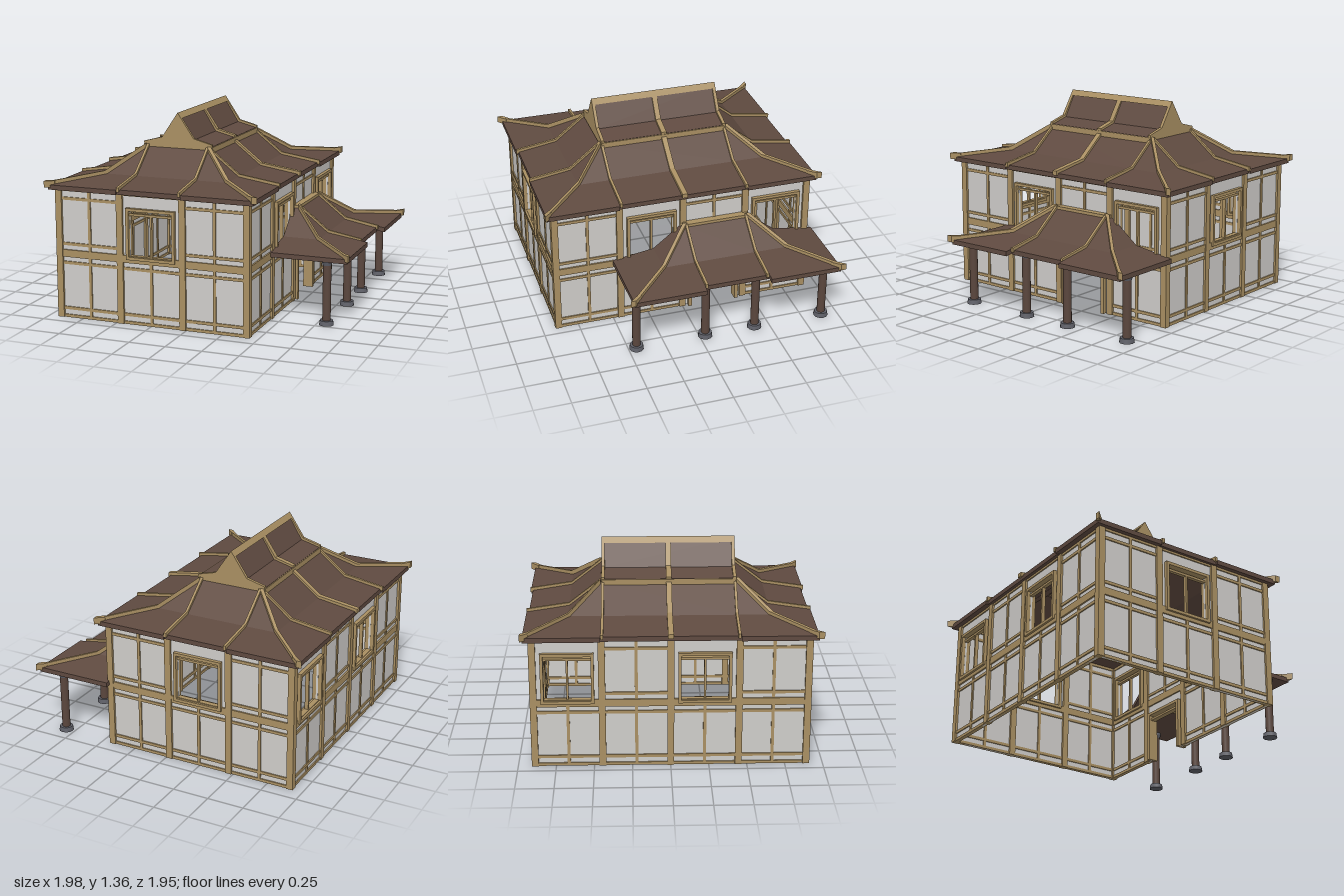
import * as THREE from 'three';

const mat = (name, color, side = THREE.FrontSide) => {
  const m = new THREE.MeshStandardMaterial({ color, side });
  m.name = name;
  return m;
};

export function createModel() {
  const wood = mat('paleTimber', 0xa98f62, THREE.DoubleSide);
  const tile = mat('brownRoof', 0x5f4a40, THREE.DoubleSide);
  const plaster = mat('plaster', 0xcfcdca);
  const darkWood = mat('darkTimber', 0x5a463d);
  const stone = mat('stone', 0x5f6068);

  const root = new THREE.Group();
  root.name = 'house';

  const group = (name, parent = root) => {
    const g = new THREE.Group();
    g.name = name;
    parent.add(g);
    return g;
  };
  const add = (parent, name, geo, m, x = 0, y = 0, z = 0) => {
    const mesh = new THREE.Mesh(geo, m);
    mesh.name = name;
    mesh.position.set(x, y, z);
    parent.add(mesh);
    return mesh;
  };
  const box = (parent, name, m, w, h, d, x, y, z = 0) =>
    add(parent, name, new THREE.BoxGeometry(w, h, d), m, x, y, z);

  const CX = -0.245; // centre line of the main building

  // ---- Timber-framed walls: each bay is drawn in its own x/y plane ----
  const W = 0.444;
  const panel = (g, w, y0, y1, x = 0) =>
    box(g, 'plasterPanel', plaster, w, y1 - y0, 0.014, x, (y0 + y1) / 2);
  const rail = (g, y, h = 0.02, d = 0.03) => box(g, 'rail', wood, W, h, d, 0, y);
  const stud = (g, y0, y1, x = 0, w = 0.02, d = 0.03) =>
    box(g, 'stud', wood, w, y1 - y0, d, x, (y0 + y1) / 2);

  function bay(g, type) {
    rail(g, 0.88);
    rail(g, 0.445, 0.05, 0.036);
    // ground floor
    if (type === 'door') {
      panel(g, W, 0.35, 0.45);
      for (const s of [-1, 1]) {
        panel(g, 0.06, 0, 0.35, s * 0.192);
        stud(g, 0, 0.355, s * 0.17, 0.025, 0.07);
      }
      box(g, 'doorLintel', wood, 0.34, 0.02, 0.07, 0, 0.345);
      box(g, 'doorTransom', wood, 0.34, 0.015, 0.04, 0, 0.308);
    } else {
      panel(g, W, 0, 0.45);
      rail(g, 0.01);
      rail(g, 0.065);
      rail(g, 0.38);
      stud(g, 0, 0.43);
    }
    // upper floor
    if (type === 'window') {
      panel(g, W, 0.78, 0.88);
      for (const s of [-1, 1]) {
        panel(g, 0.07, 0.45, 0.78, s * 0.187);
        stud(g, 0.445, 0.79, s * 0.163, 0.02, 0.065);
      }
      box(g, 'windowHead', wood, 0.345, 0.02, 0.065, 0, 0.782);
      box(g, 'windowSill', wood, 0.345, 0.02, 0.065, 0, 0.455);
      box(g, 'windowTransom', wood, 0.31, 0.016, 0.025, 0, 0.747);
      stud(g, 0.45, 0.747, 0, 0.014, 0.025);
    } else {
      panel(g, W, 0.45, 0.88);
      rail(g, 0.51);
      rail(g, 0.82);
      stud(g, 0.45, 0.88);
    }
  }

  const sides = [
    ['frontWall', 0.89, ['plain', 'window', 'plain']],
    ['leftWall', 0.665, ['plain', 'window', 'door', 'window']],
    ['backWall', 0.89, ['plain', 'window', 'plain']],
    ['rightWall', 0.665, ['window', 'plain', 'window', 'plain']],
  ];
  sides.forEach(([name, dist, bays], k) => {
    const g = group(name);
    g.position.x = CX;
    g.rotation.y = (k * Math.PI) / 2;
    bays.forEach((type, i) => {
      const u = (i - bays.length / 2) * W;
      const b = group('bay', g);
      b.position.set(u + W / 2, 0, dist);
      bay(b, type);
      box(g, 'post', wood, 0.045, 0.885, 0.045, u, 0.4425, dist);
    });
  });

  // ---- Roof strips: a section [distance out, height] swept sideways from
  // u0 - s0*d to u1 + s1*d, so square strips, hips and diagonals share one rule
  function strip(parent, name, m, section, t, u0, u1, s0, s1, inner) {
    const v = [];
    const at = (i, right, low) => {
      const [d, y] = section[i];
      return [right ? u1 + s1 * d : u0 - s0 * d, y - (low ? t : 0), inner + d];
    };
    const quad = (a, b, c, d) => v.push(...a, ...b, ...c, ...a, ...c, ...d);
    const n = section.length - 1;
    for (let i = 0; i < n; i++) {
      quad(at(i, 0, 0), at(i + 1, 0, 0), at(i + 1, 1, 0), at(i, 1, 0));
      quad(at(i, 0, 1), at(i, 1, 1), at(i + 1, 1, 1), at(i + 1, 0, 1));
      quad(at(i, 0, 0), at(i, 0, 1), at(i + 1, 0, 1), at(i + 1, 0, 0));
      quad(at(i, 1, 0), at(i + 1, 1, 0), at(i + 1, 1, 1), at(i, 1, 1));
    }
    quad(at(n, 0, 0), at(n, 0, 1), at(n, 1, 1), at(n, 1, 0));
    quad(at(0, 0, 0), at(0, 1, 0), at(0, 1, 1), at(0, 0, 1));
    const geo = new THREE.BufferGeometry();
    geo.setAttribute('position', new THREE.Float32BufferAttribute(v, 3));
    geo.computeVertexNormals();
    add(parent, name, geo, m);
  }
  const curve = (base, out, lift = 0) =>
    [[0, 1.12], [0.21, 0.955], [out, 0.912]].map(([d, y]) => [d, y + base + lift]);

  const rafter = (g, base, out, u, w, inner) =>
    strip(g, 'rafter', wood, curve(base, out, 0.018), 0.03, u - w / 2, u + w / 2, 0, 0, inner);
  const hip = (g, base, u, inner, s) => {
    strip(g, 'hipBeam', wood, curve(base, 0.5, 0.022), 0.035, u - 0.014, u + 0.014, -s, s, inner);
    strip(g, 'hipTip', wood, [[0.455, 0.938 + base], [0.508, 0.942 + base]], 0.045,
      u - 0.018, u + 0.018, -s, s, inner);
  };

  // Main skirt roof
  const HX = 0.2275, HZ = 0.45;
  ['front', 'left', 'back', 'right'].forEach((name, k) => {
    const [half, inner] = k % 2 ? [HZ, HX] : [HX, HZ];
    const g = group(name + 'Roof');
    g.position.x = CX;
    g.rotation.y = (k * Math.PI) / 2;
    strip(g, 'roofMiddle', tile, curve(0, 0.48), 0.032, -half, half, 0, 0, inner);
    strip(g, 'roofCorner', tile, curve(0, 0.495), 0.032, half, half, 0, 1, inner);
    strip(g, 'roofCorner', tile, curve(0, 0.495), 0.032, -half, -half, 1, 0, inner);
    for (const s of [-1, 1]) rafter(g, 0, 0.497, s * (half - 0.012), 0.018, inner);
    if (k % 2) rafter(g, 0, 0.497, 0, 0.036, inner);
    hip(g, 0, half, inner, 1);
  });

  // Raised gable on top
  const top = group('gable');
  top.position.x = CX;
  const gableShape = (inset) => new THREE.Shape([
    [-0.22, 1.095], [0.22, 1.095], [0.247, 1.13], [0.247, 1.155 - inset], [0.115 - inset * 0.6, 1.19 - inset],
    [0, 1.36 - inset], [-0.115 + inset * 0.6, 1.19 - inset], [-0.247, 1.155 - inset], [-0.247, 1.13],
  ].map(([x, y]) => new THREE.Vector2(x * (inset ? 0.985 : 1), y)));
  const slab = (name, m, shape, z, depth) =>
    add(top, name, new THREE.ExtrudeGeometry(shape, { depth, bevelEnabled: false }), m, 0, 0, z - depth / 2);
  slab('gableRoof', tile, gableShape(0.014), 0, 0.87);
  for (const z of [-0.435, 0.435]) slab('gableEnd', wood, gableShape(0), z, 0.022);
  slab('gableBand', wood, gableShape(0), 0, 0.036);
  const cap = new THREE.Shape([[-0.026, 1.322], [0.026, 1.322], [0, 1.36]].map((p) => new THREE.Vector2(...p)));
  slab('ridgeCap', wood, cap, 0, 0.89);
  for (const s of [-1, 1]) box(top, 'gableBeam', wood, 0.03, 0.042, 0.88, s * 0.235, 1.118);

  // ---- Porch on the left side ----
  const porch = group('porch');
  porch.position.z = -0.225;
  const BASE = -0.442, PX = 0.47, PZ = 0.225;
  const outer = group('porchOuterRoof', porch);
  outer.rotation.y = Math.PI / 2;
  strip(outer, 'porchMiddle', tile, curve(BASE, 0.438), 0.032, -PZ, PZ, 0, 0, PX);
  strip(outer, 'porchCorner', tile, curve(BASE, 0.495), 0.032, PZ, PZ, 0, 1, PX);
  strip(outer, 'porchCorner', tile, curve(BASE, 0.495), 0.032, -PZ, -PZ, 1, 0, PX);
  for (const s of [-1, 1]) {
    rafter(outer, BASE, 0.45, s * (PZ - 0.012), 0.018, PX);
    hip(outer, BASE, s * PZ, PX, s);
  }
  const front = group('porchFrontRoof', porch);
  front.position.x = PX;
  strip(front, 'porchEnd', tile, curve(BASE, 0.495), 0.032, -0.04, 0, 0, 1, PZ);
  const back = group('porchBackRoof', porch);
  back.position.x = PX;
  back.rotation.y = Math.PI;
  strip(back, 'porchEnd', tile, curve(BASE, 0.495), 0.032, 0, 0.04, 1, 0, PZ);
  box(porch, 'porchRidge', wood, 0.05, 0.04, 0.47, 0.455, 0.67);
  box(porch, 'porchCeiling', wood, 0.44, 0.008, 0.45, 0.65, 0.443);

  // Round columns with stone feet and capitals
  for (const z of [0.445, -0.04, -0.395, -0.885]) {
    const c = group('column');
    c.position.set(0.815, 0, z);
    add(c, 'shaft', new THREE.CylinderGeometry(0.028, 0.028, 0.4, 16), darkWood, 0, 0.225);
    add(c, 'foot', new THREE.CylinderGeometry(0.045, 0.05, 0.032, 12), stone, 0, 0.016);
    add(c, 'capital', new THREE.CylinderGeometry(0.036, 0.029, 0.025, 12), stone, 0, 0.42);
    add(c, 'capitalTop', new THREE.CylinderGeometry(0.036, 0.036, 0.018, 12), stone, 0, 0.44);
  }

  return root;
}
